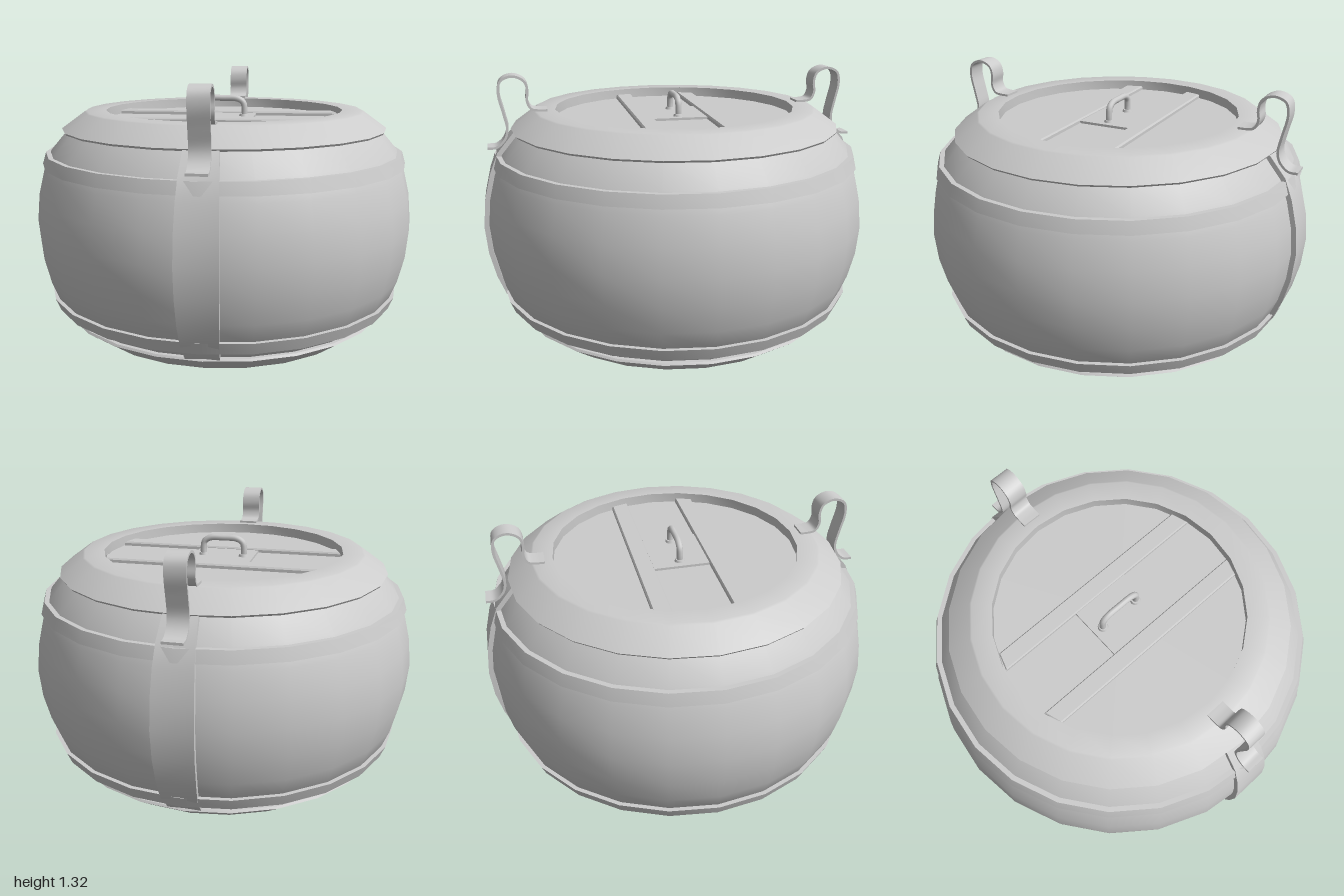
import * as THREE from 'three';
import { toCreasedNormals } from 'three/addons/utils/BufferGeometryUtils.js';

const mat = new THREE.MeshStandardMaterial({ color: 0xcccccc });
const SIDES = 24;

function add(parent, name, geometry) {
  const mesh = new THREE.Mesh(geometry, mat);
  mesh.name = name;
  parent.add(mesh);
  return mesh;
}

function lathe(profile) {
  const pts = profile.map(([r, y]) => new THREE.Vector2(r, y));
  return toCreasedNormals(new THREE.LatheGeometry(pts, SIDES), 0.5);
}

// Flat strip of metal following [z, y] points, with its width along x
function ribbon(path, thickness, halfWidth) {
  const pos = [], idx = [], n = path.length;
  path.forEach(([z, y], i) => {
    const a = path[Math.max(i - 1, 0)], b = path[Math.min(i + 1, n - 1)];
    const dz = b[0] - a[0], dy = b[1] - a[1], l = Math.hypot(dz, dy);
    const nz = dy / l * thickness / 2, ny = -dz / l * thickness / 2;
    const w = halfWidth(i / (n - 1));
    pos.push(-w, y + ny, z + nz, w, y + ny, z + nz, w, y - ny, z - nz, -w, y - ny, z - nz);
  });
  for (let i = 0; i < n - 1; i++) {
    for (let k = 0; k < 4; k++) {
      const a = i * 4 + k, b = i * 4 + (k + 1) % 4;
      idx.push(a, b, b + 4, a, b + 4, a + 4);
    }
  }
  const e = (n - 1) * 4;
  idx.push(0, 2, 1, 0, 3, 2, e, e + 1, e + 2, e, e + 2, e + 3);
  const g = new THREE.BufferGeometry();
  g.setAttribute('position', new THREE.Float32BufferAttribute(pos, 3));
  g.setIndex(idx);
  return toCreasedNormals(g, 0.7);
}

export function createModel() {
  const model = new THREE.Group();
  model.name = 'barrel';

  // Bulging wall, mirrored about mid height
  const half = [[0.815, 0.1], [0.9, 0.2], [0.94, 0.3], [0.972, 0.43]];
  const MID = 0.57, mirror = ([r, y]) => [r, 2 * MID - y];
  const wall = [...half, [0.985, MID], ...half.map(mirror).reverse()];
  add(model, 'wall', lathe(wall));

  // Bottom and top rims with a recessed disc inside each
  const rim = [[0, 0.05], [0.615, 0.05], [0.615, 0], [0.715, 0], [0.725, 0.005],
    [0.842, 0.09], [0.835, 0.1], [0.78, 0.1]];
  add(model, 'bottomRim', lathe(rim));
  add(model, 'topRim', lathe(rim.map(mirror).reverse()));

  // Hoops around the wall
  const hoop = [[0.86, 0.15], [0.9, 0.15], [0.925, 0.21], [0.945, 0.268], [0.86, 0.268]];
  hoop.length = 3;
  hoop.push([0.89, 0.21]);
  add(model, 'lowerHoop', lathe(hoop));
  add(model, 'upperHoop', lathe([[0.9, 0.87], [0.946, 0.87], [0.928, 0.93], [0.88, 0.93]]));

  // Vertical straps and curled hooks, front and back
  const strapPath = wall.map(([r, y]) => [r + 0.003, y]);
  const hookPath = new THREE.CatmullRomCurve3([
    [0.96, 0.963], [0.915, 0.966], [0.875, 1.0], [0.857, 1.05], [0.872, 1.14], [0.891, 1.235],
    [0.878, 1.295], [0.82, 1.318], [0.764, 1.293], [0.749, 1.245], [0.754, 1.195],
    [0.735, 1.155], [0.7, 1.146], [0.655, 1.145],
  ].map(([z, y]) => new THREE.Vector3(0, y, z))).getPoints(52).map(p => [p.z, p.y]);
  for (const [side, turn] of [['front', 0], ['back', Math.PI]]) {
    const g = new THREE.Group();
    g.name = side + 'Fastening';
    g.rotation.y = turn;
    add(g, side + 'Strap', ribbon(strapPath, 0.024, t => 0.08 + 0.018 * Math.sin(Math.PI * t)));
    add(g, side + 'Hook', ribbon(hookPath, 0.012, () => 0.049));
    model.add(g);
  }

  // Lid battens, their ends cut to the round recess
  const lid = new THREE.Group();
  lid.name = 'lid';
  lid.position.y = 1.09;
  model.add(lid);
  for (const s of [1, -1]) {
    const shape = new THREE.Shape([[-0.592, 0.14], [0.592, 0.14], [0.565, 0.228], [-0.565, 0.228]]
      .map(([x, z]) => new THREE.Vector2(x, s * z)));
    const g = new THREE.ExtrudeGeometry(shape, {
      depth: 0.014, bevelEnabled: true, bevelThickness: 0.008, bevelSize: 0.006,
      bevelOffset: -0.006, bevelSegments: 1,
    });
    g.rotateX(-Math.PI / 2);
    add(lid, s > 0 ? 'backBatten' : 'frontBatten', g);
  }

  // Handle on its plate
  add(lid, 'handlePlate', new THREE.BoxGeometry(0.315, 0.012, 0.278)).position.y = 0.006;
  const grip = new THREE.CatmullRomCurve3([[-0.105, 0], [-0.107, 0.05], [-0.1, 0.083], [-0.07, 0.102],
    [0, 0.105], [0.07, 0.102], [0.1, 0.083], [0.107, 0.05], [0.105, 0]]
    .map(([x, y]) => new THREE.Vector3(x, y, 0)));
  add(lid, 'handle', new THREE.TubeGeometry(grip, 40, 0.016, 10));
  for (const x of [-0.105, 0.105]) {
    add(lid, 'handleFoot', new THREE.CylinderGeometry(0.022, 0.026, 0.012, 16)).position.set(x, 0.018, 0);
  }
  return model;
}
